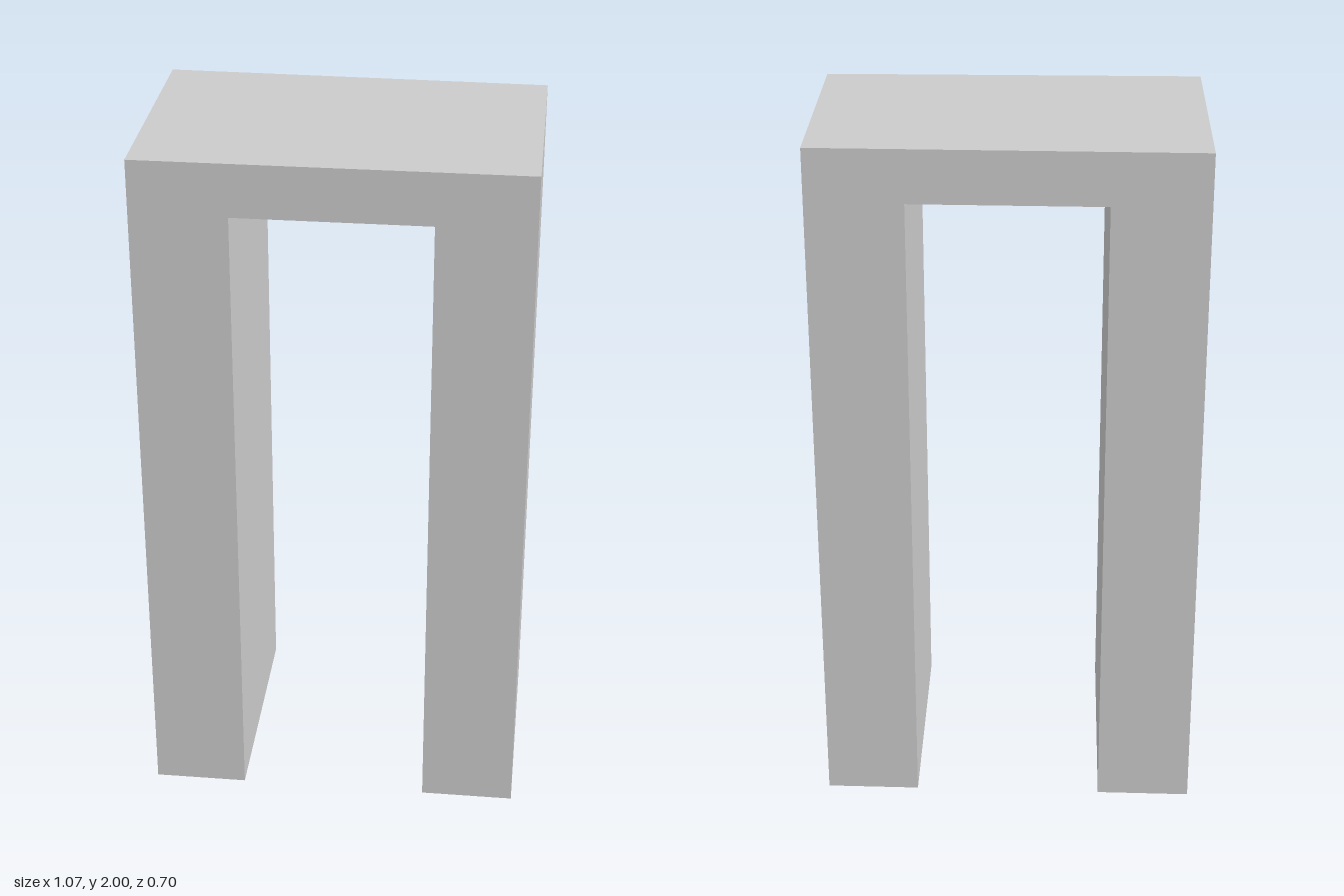
import * as THREE from 'three';

export function createModel() {
  const group = new THREE.Group();
  const material = new THREE.MeshStandardMaterial({ color: 0xcccccc, flatShading: true });
  const outer = 0.537, inner = 0.27, height = 2, soffit = 1.85;
  const front = 0.35;

  // Square archway: two legs joined by a lintel
  const outline = new THREE.Shape([
    [-outer, 0], [-inner, 0], [-inner, soffit], [inner, soffit],
    [inner, 0], [outer, 0], [outer, height], [-outer, height],
  ].map(([x, y]) => new THREE.Vector2(x, y)));
  const geometry = new THREE.ExtrudeGeometry(outline, { depth: 1, bevelEnabled: false });

  // The front is square; the back slants, slightly deeper on the -x side
  const pos = geometry.attributes.position;
  for (let i = 0; i < pos.count; i++) {
    const back = THREE.MathUtils.mapLinear(pos.getX(i), -outer, outer, -0.35, -0.332);
    pos.setZ(i, pos.getZ(i) > 0.5 ? front : back);
  }
  geometry.computeVertexNormals();

  const arch = new THREE.Mesh(geometry, material);
  arch.name = 'archway';
  group.add(arch);
  return group;
}
